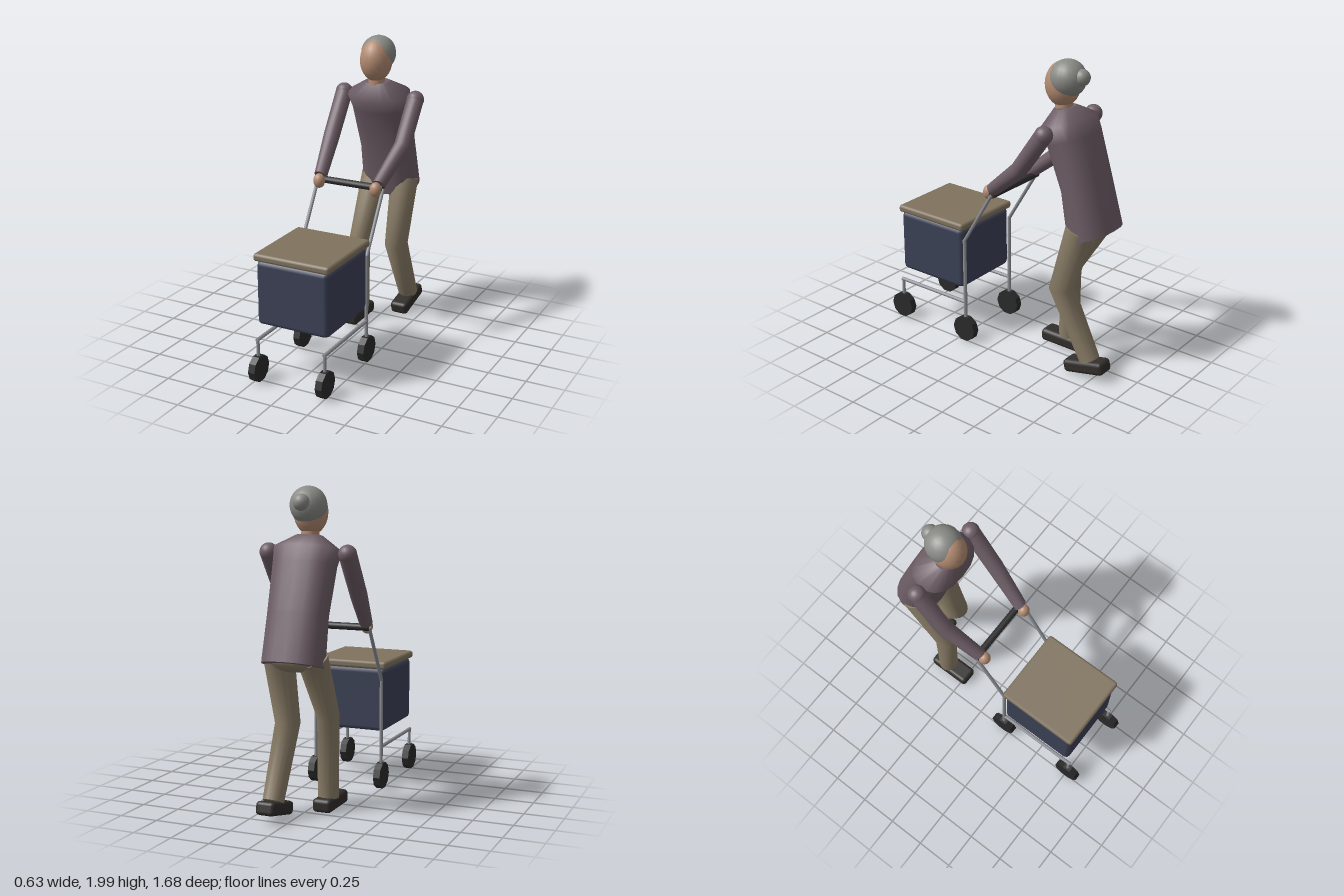
import * as THREE from 'three';
import { RoundedBoxGeometry } from 'three/addons/geometries/RoundedBoxGeometry.js';

const mat = (color, extra = {}) => new THREE.MeshStandardMaterial({ color, ...extra });
const M = {
  shirt: mat(0x6e5e66), trousers: mat(0x8a7d67), skin: mat(0xb48c72), hair: mat(0x8a8a86),
  shoe: mat(0x312e2b), box: mat(0x3c4257), lid: mat(0x80735f),
  metal: mat(0x8d9096), rubber: mat(0x2a2a2a, { flatShading: true }), grip: mat(0x2e2e2e),
};

// Skin over superelliptic rings listed bottom to top: { x, y, z, rx, rz, pitch }
function loft(rings, segments, power = 2) {
  const first = rings[0], last = rings[rings.length - 1];
  const point = (r) => ({ ...r, rx: 0, rz: 0 });
  const all = [point(first), first, ...rings, last, point(last)]; // doubled rings keep the caps crisp
  const pos = [], index = [];
  const curve = (v) => Math.sign(v) * Math.abs(v) ** (2 / power);
  all.forEach((r, j) => {
    for (let i = 0; i < segments; i++) {
      const a = ((i + 0.5) / segments) * Math.PI * 2;
      const f = r.rz * curve(Math.sin(a));
      pos.push(r.x + r.rx * curve(Math.cos(a)), r.y - f * Math.sin(r.pitch), r.z + f * Math.cos(r.pitch));
      if (j === all.length - 1) continue;
      const p = j * segments + i, q = j * segments + (i + 1) % segments;
      index.push(p, p + segments, q, q, p + segments, q + segments);
    }
  });
  const g = new THREE.BufferGeometry();
  g.setAttribute('position', new THREE.Float32BufferAttribute(pos, 3));
  g.setIndex(index);
  g.computeVertexNormals();
  return g;
}

// Round limb through [x, y, z, radius] points, mitred at the joint
function limb(points) {
  const tilt = points.slice(1).map((p, i) => Math.atan2(p[2] - points[i][2], p[1] - points[i][1]));
  return loft(points.map(([x, y, z, r], i) => {
    const a = tilt[Math.max(i - 1, 0)], b = tilt[Math.min(i, tilt.length - 1)];
    return { x, y, z, rx: r, rz: r / Math.cos((a - b) / 2), pitch: (a + b) / 2 };
  }), 16);
}

export function createModel() {
  const model = new THREE.Group();
  const person = new THREE.Group();
  const cart = new THREE.Group();
  person.name = 'person';
  cart.name = 'cart';
  model.add(person, cart);

  const add = (parent, name, geometry, material, x = 0, y = 0, z = 0) => {
    const mesh = new THREE.Mesh(geometry, material);
    mesh.name = name;
    mesh.position.set(x, y, z);
    parent.add(mesh);
    return mesh;
  };
  const ball = (name, material, x, y, z, rx, ry = rx, rz = rx) => {
    const mesh = add(person, name, new THREE.SphereGeometry(1, 20, 14), material, x, y, z);
    mesh.scale.set(rx, ry, rz);
    return mesh;
  };
  // Straight rod between two points
  const rod = (name, from, to, radius, material, sides = 8) => {
    const a = new THREE.Vector3(...from), b = new THREE.Vector3(...to);
    const mesh = add(cart, name, new THREE.CylinderGeometry(radius, radius, a.distanceTo(b), sides), material);
    mesh.position.copy(a).add(b).multiplyScalar(0.5);
    mesh.quaternion.setFromUnitVectors(new THREE.Vector3(0, 1, 0), b.sub(a).normalize());
  };

  // Head, hair and neck
  ball('head', M.skin, 0, 1.845, -0.39, 0.105, 0.14, 0.112);
  ball('hair', M.hair, 0, 1.885, -0.425, 0.114, 0.116, 0.117);
  ball('hairBun', M.hair, 0, 1.905, -0.525, 0.052);
  add(person, 'neck', new THREE.CylinderGeometry(0.053, 0.057, 0.16, 16), M.skin, 0, 1.70, -0.40);

  // Shirt body, leaning forward
  const torso = [
    [0.943, -0.65, 0.195, 0.148, 0.33],
    [1.245, -0.58, 0.19, 0.128, 0.3],
    [1.535, -0.478, 0.2, 0.138, 0.28],
    [1.622, -0.435, 0.213, 0.142, 0.3],
    [1.705, -0.41, 0.08, 0.06, 0.15],
  ].map(([y, z, rx, rz, pitch]) => ({ x: 0, y, z, rx, rz, pitch }));
  add(person, 'shirt', loft(torso, 18, 2.4), M.shirt);
  ball('hips', M.trousers, 0, 1.0, -0.63, 0.175, 0.095, 0.125);

  // Arms reaching to the handle
  for (const [side, s] of [['left', 1], ['right', -1]]) {
    add(person, side + 'Sleeve', limb([
      [s * 0.21, 1.135, -0.015, 0.043], [s * 0.258, 1.335, -0.255, 0.054], [s * 0.26, 1.6, -0.44, 0.056],
    ]), M.shirt);
    ball(side + 'Shoulder', M.shirt, s * 0.26, 1.6, -0.44, 0.057);
    ball(side + 'Hand', M.skin, s * 0.203, 1.11, 0.018, 0.039, 0.048, 0.038);
  }

  // Legs in mid stride
  add(person, 'rightLeg', limb([
    [-0.115, 0.09, -0.395, 0.066], [-0.115, 0.6, -0.395, 0.07], [-0.11, 1.0, -0.62, 0.095],
  ]), M.trousers);
  add(person, 'leftLeg', limb([
    [0.11, 0.12, -0.71, 0.066], [0.115, 0.56, -0.49, 0.078], [0.11, 1.0, -0.62, 0.095],
  ]), M.trousers);

  // Shoes, the rear one with its heel raised
  const shoe = new RoundedBoxGeometry(0.125, 0.085, 0.295, 2, 0.025);
  add(person, 'rightShoe', shoe, M.shoe, -0.112, 0.057, -0.357);
  add(person, 'leftShoe', shoe, M.shoe, 0.11, 0.076, -0.69).rotation.x = 0.23;

  // Cart box with lid
  add(cart, 'box', new RoundedBoxGeometry(0.495, 0.42, 0.525, 1, 0.03), M.box, 0, 0.59, 0.478);
  add(cart, 'lid', new RoundedBoxGeometry(0.522, 0.05, 0.552, 1, 0.018), M.lid, 0, 0.823, 0.476);

  // Cart frame and wheels
  const wheel = new THREE.CylinderGeometry(0.088, 0.088, 0.046, 10).rotateZ(Math.PI / 2);
  for (const s of [1, -1]) {
    const x = s * 0.235;
    rod('rearPost', [x, 0.09, 0.2], [x, 0.735, 0.2], 0.012, M.metal);
    rod('handlePost', [x, 0.73, 0.2], [x, 1.107, -0.025], 0.012, M.metal);
    rod('lowerRail', [x, 0.285, 0.195], [x, 0.285, 0.765], 0.012, M.metal);
    rod('frontPost', [x, 0.09, 0.755], [x, 0.285, 0.755], 0.011, M.metal);
    add(cart, 'frontWheel', wheel, M.rubber, x, 0.093, 0.755);
    add(cart, 'rearWheel', wheel, M.rubber, x, 0.093, 0.2);
  }
  rod('handleBar', [-0.235, 1.108, -0.027], [0.235, 1.108, -0.027], 0.023, M.grip, 12);

  return model;
}
